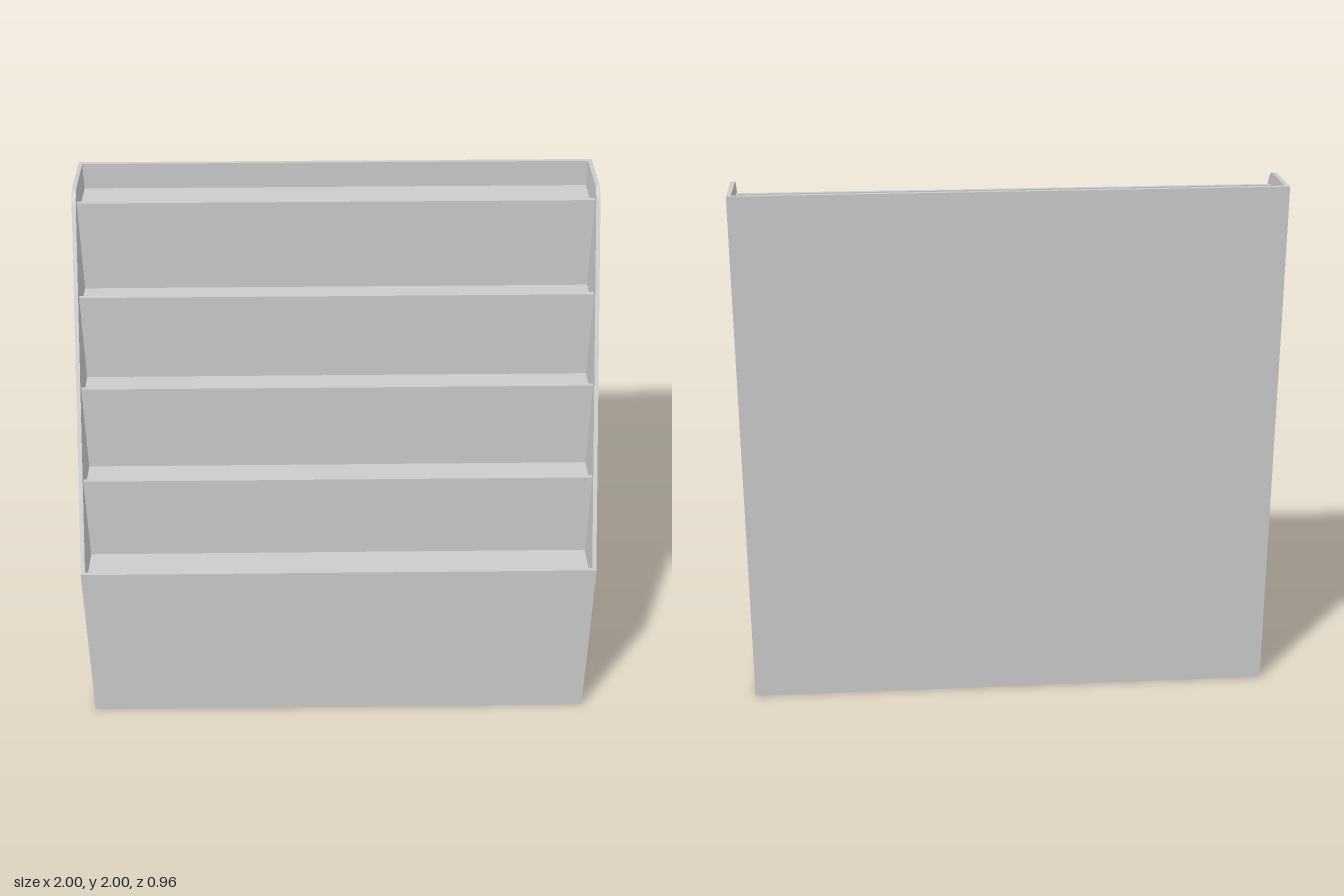
import * as THREE from 'three';

const T = 0.016; // sheet thickness

export function createModel() {
  const group = new THREE.Group();
  group.name = 'tieredDisplayRack';
  const material = new THREE.MeshStandardMaterial({ color: 0xcccccc });

  // Box given by its limits in y and z, centred on x
  function panel(name, width, y0, y1, z0, z1) {
    const mesh = new THREE.Mesh(new THREE.BoxGeometry(width, y1 - y0, z1 - z0), material);
    mesh.position.set(0, (y0 + y1) / 2, (z0 + z1) / 2);
    mesh.name = name;
    group.add(mesh);
  }

  // Side cheeks: sloping front edge with a rounded upper corner (shape x = -z)
  const outline = new THREE.Shape();
  outline.moveTo(-0.48, 0);
  outline.lineTo(0.48, 0);
  outline.lineTo(0.48, 2);
  outline.lineTo(0.265, 2);
  outline.quadraticCurveTo(0.23, 2, 0.205, 1.955);
  outline.lineTo(-0.47, 0.715);
  outline.lineTo(-0.48, 0.715);
  outline.closePath();
  const sideGeometry = new THREE.ExtrudeGeometry(outline, { depth: T, bevelEnabled: false, curveSegments: 10 });
  sideGeometry.rotateY(Math.PI / 2);
  for (const [name, x] of [['leftSide', 1 - T], ['rightSide', -1]]) {
    const side = new THREE.Mesh(sideGeometry, material);
    side.position.x = x;
    side.name = name;
    group.add(side);
  }

  // Full-width back and front, open underneath
  const inner = 2 - 2 * T;
  panel('backPanel', inner, 0, 2, -0.48, -0.48 + T);
  panel('frontPanel', inner, 0, 0.715, 0.48 - T, 0.48);

  // Tiers: each riser stands on the floor of the pocket in front of it
  const fronts = [0.48, 0.285, 0.11, -0.062, -0.23];
  const tops = [0.715, 1.02, 1.33, 1.635, 1.95];
  for (let i = 0; i < fronts.length; i++) {
    const floorTop = tops[i] - 0.055;
    const back = i < 4 ? fronts[i + 1] - T : -0.48 + T;
    panel('pocketFloor' + (i + 1), inner, floorTop - 0.05, floorTop, back, fronts[i] - T);
    if (i > 0) panel('riser' + i, inner, tops[i - 1] - 0.055, tops[i], fronts[i] - T, fronts[i]);
  }
  return group;
}
